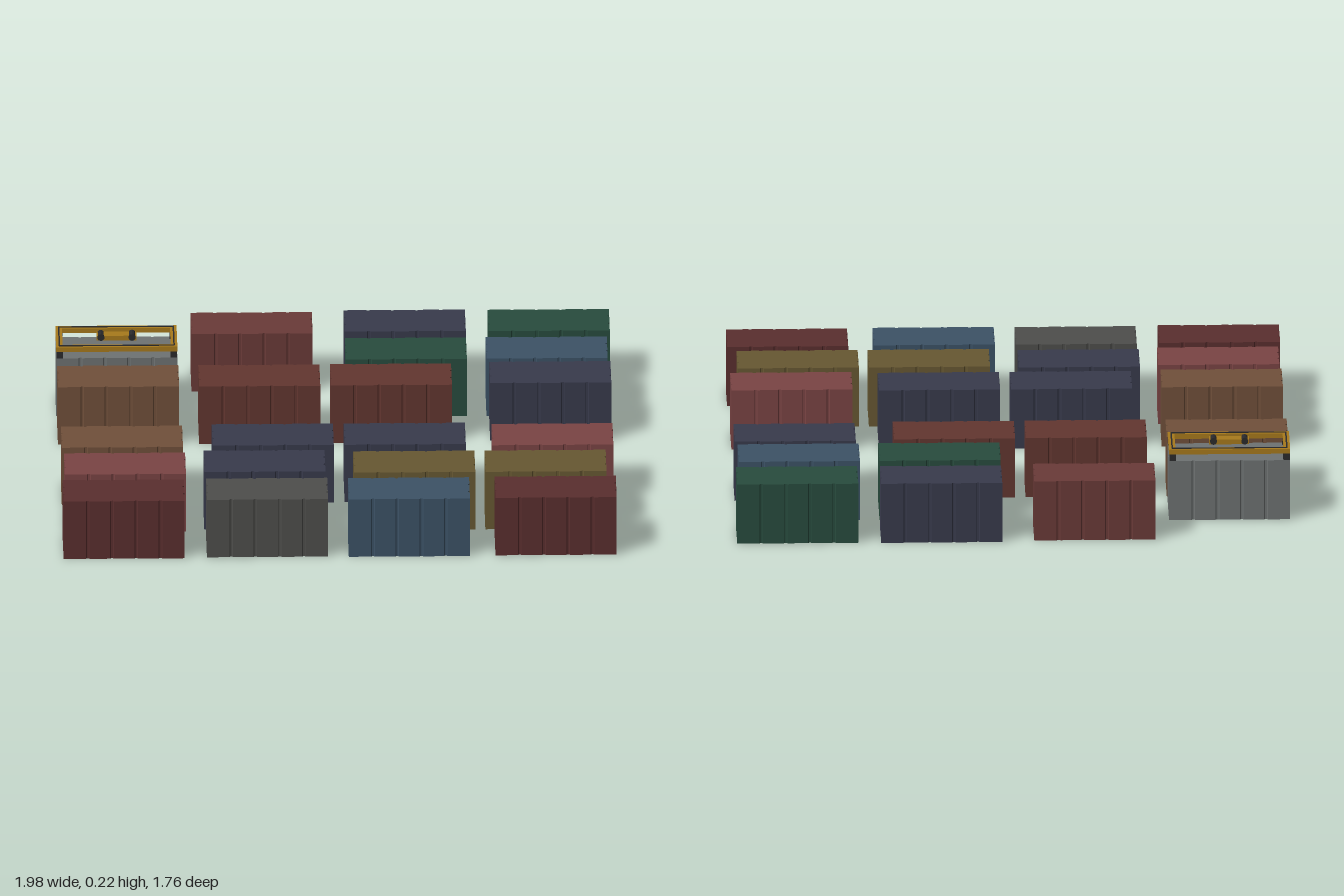
import * as THREE from 'three';

const LENGTH = 0.334, WIDTH = 0.15, HEIGHT = 0.172;
const YAW = -Math.PI / 6;

const COLORS = {
  darkRed: 0x5a2e2e, rose: 0x7a4444, red: 0x6a3a38, rust: 0x623630,
  brown: 0x70503a, olive: 0x675832, green: 0x284c3e, blue: 0x3c5266,
  navy: 0x383a4c, charcoal: 0x4e4e4c, grey: 0x6e7272,
  yellow: 0xa87a1c, steel: 0x2a2a2c,
};

// colour, x, z of every container in the yard
const LAYOUT = [
  ['red', 0.096, -0.689], ['brown', -0.411, -0.559], ['rust', -0.075, -0.363],
  ['rust', 0.24, -0.183], ['navy', 0.467, -0.487], ['green', 0.369, -0.318],
  ['green', 0.809, -0.286], ['blue', 0.705, -0.124], ['navy', 0.625, 0.029],
  ['brown', -0.62, -0.19], ['rose', -0.71, -0.024], ['darkRed', -0.81, 0.136],
  ['navy', -0.256, 0.011], ['navy', -0.371, 0.158], ['navy', 0.059, 0.193],
  ['charcoal', -0.465, 0.329], ['olive', -0.019, 0.374], ['olive', 0.294, 0.555],
  ['rose', 0.406, 0.405], ['blue', -0.128, 0.527], ['darkRed', 0.224, 0.726],
  ['grey', -0.311, -0.735],
];

const materials = {};
for (const [name, color] of Object.entries(COLORS)) {
  materials[name] = new THREE.MeshStandardMaterial({ color, flatShading: true });
}

// Rectangular plan with shallow tapered grooves between the wall panels
function containerGeometry() {
  const corners = [[-1, -1], [1, -1], [1, 1], [-1, 1]]
    .map(([x, y]) => new THREE.Vector2(x * LENGTH / 2, y * WIDTH / 2));
  const depth = 0.004, half = 0.005;
  const points = [];
  corners.forEach((a, i) => {
    const b = corners[(i + 1) % 4];
    const along = b.clone().sub(a);
    const size = along.length();
    along.normalize();
    const inward = new THREE.Vector2(-along.y, along.x);
    const at = (t, d) => a.clone().addScaledVector(along, t).addScaledVector(inward, d);
    const panels = i % 2 ? 3 : 5;
    points.push(a);
    for (let k = 1; k < panels; k++) {
      const t = size * k / panels;
      points.push(at(t - half, 0), at(t - half / 2, depth), at(t + half / 2, depth), at(t + half, 0));
    }
  });
  const geometry = new THREE.ExtrudeGeometry(new THREE.Shape(points), { depth: HEIGHT, bevelEnabled: false });
  return geometry.rotateX(-Math.PI / 2);
}

function addBox(parent, name, size, position, material) {
  const mesh = new THREE.Mesh(new THREE.BoxGeometry(...size), material);
  mesh.name = name;
  mesh.position.set(...position);
  parent.add(mesh);
}

// Lifting frame: rails, corner locks and a central hoist block
function createSpreader() {
  const spreader = new THREE.Group();
  spreader.name = 'liftingFrame';
  const { yellow, steel } = materials;
  const bar = 0.018, y = 0.198;
  for (const s of [-1, 1]) {
    addBox(spreader, 'sideRail', [LENGTH, 0.014, bar], [0, y, s * (WIDTH - bar) / 2], yellow);
    addBox(spreader, 'endRail', [bar, 0.014, WIDTH - 2 * bar], [s * (LENGTH - bar) / 2, y, 0], yellow);
    addBox(spreader, 'railCap', [LENGTH - 0.016, 0.002, 0.004], [0, y + 0.008, s * (WIDTH - bar) / 2], steel);
    addBox(spreader, 'endRailCap', [0.004, 0.002, WIDTH - 0.02], [s * (LENGTH - bar) / 2, y + 0.008, 0], steel);
    for (const e of [-1, 1]) {
      addBox(spreader, 'cornerLock', [0.018, 0.019, 0.018],
        [s * (LENGTH / 2 - 0.01), HEIGHT + 0.0095, e * (WIDTH / 2 - 0.01)], steel);
    }
    // Cable sheaves on the hoist block
    const sheave = new THREE.Mesh(new THREE.CylinderGeometry(0.01, 0.01, 0.032, 10), steel);
    sheave.name = 'cableSheave';
    sheave.rotation.x = Math.PI / 2;
    sheave.position.set(s * 0.043, 0.208, 0);
    spreader.add(sheave);
  }
  addBox(spreader, 'hoistBlock', [0.11, 0.014, 0.03], [0, 0.206, 0], yellow);
  return spreader;
}

export function createModel() {
  const model = new THREE.Group();
  model.name = 'containerYard';
  const geometry = containerGeometry();
  for (const [color, x, z] of LAYOUT) {
    const container = new THREE.Mesh(geometry, materials[color]);
    container.name = 'container';
    container.position.set(x, 0, z);
    container.rotation.y = YAW;
    model.add(container);
  }
  const spreader = createSpreader();
  spreader.position.set(-0.311, 0, -0.735);
  spreader.rotation.y = YAW;
  model.add(spreader);
  return model;
}
